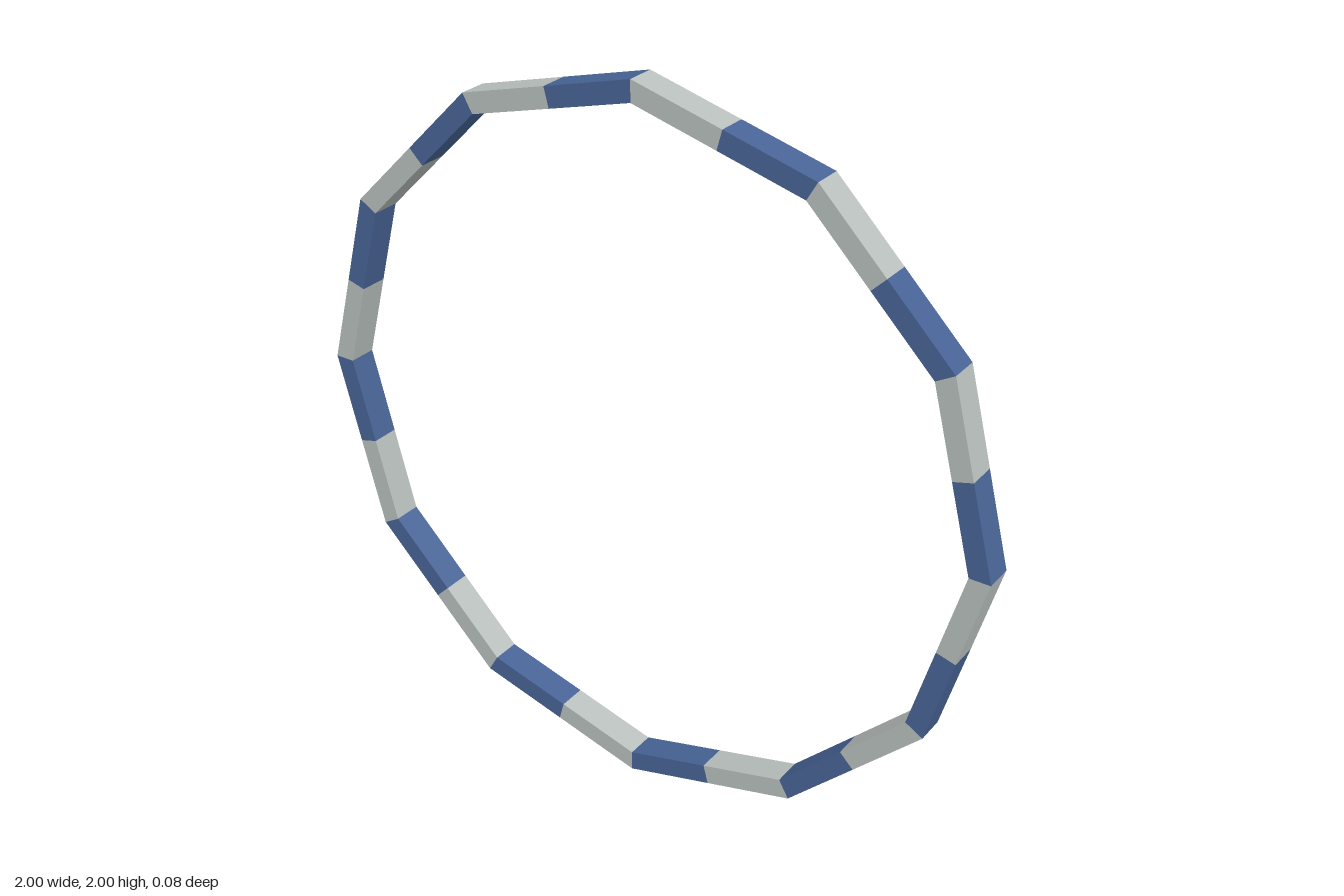
import * as THREE from 'three';

const SIDES = 12;
const OUTER = 1, INNER = 0.943, HALF_DEPTH = 0.04;

// Rectangular bar section as [radius, z], counter-clockwise
const SECTION = [
  [OUTER, -HALF_DEPTH], [OUTER, HALF_DEPTH],
  [INNER, HALF_DEPTH], [INNER, -HALF_DEPTH],
];

// Station k: even = corner of the polygon, odd = middle of a straight side
function station(k) {
  const angle = (k * Math.PI) / SIDES;
  const scale = k % 2 ? Math.cos(Math.PI / SIDES) : 1;
  return SECTION.map(([r, z]) => new THREE.Vector3(
    r * scale * Math.cos(angle), r * scale * Math.sin(angle) + 1, z));
}

// Open-ended length of bar between two neighbouring stations
function barGeometry(k) {
  const a = station(k), b = station(k + 1);
  const points = [];
  for (let i = 0; i < 4; i++) {
    const j = (i + 1) % 4;
    points.push(a[i], b[i], b[j], a[i], b[j], a[j]);
  }
  const geometry = new THREE.BufferGeometry().setFromPoints(points);
  geometry.computeVertexNormals();
  return geometry;
}

export function createModel() {
  const blue = new THREE.MeshStandardMaterial({ color: 0x486496 });
  blue.name = 'blue';
  const grey = new THREE.MeshStandardMaterial({ color: 0xb9c0bd });
  grey.name = 'pale grey';

  const hoop = new THREE.Group();
  hoop.name = 'hoop';

  // Each straight side is half blue, half grey
  for (let k = 0; k < SIDES * 2; k++) {
    const isBlue = k % 2 === 0;
    const bar = new THREE.Mesh(barGeometry(k), isBlue ? blue : grey);
    bar.name = (isBlue ? 'blueBar' : 'greyBar') + (Math.floor(k / 2) + 1);
    hoop.add(bar);
  }
  return hoop;
}
